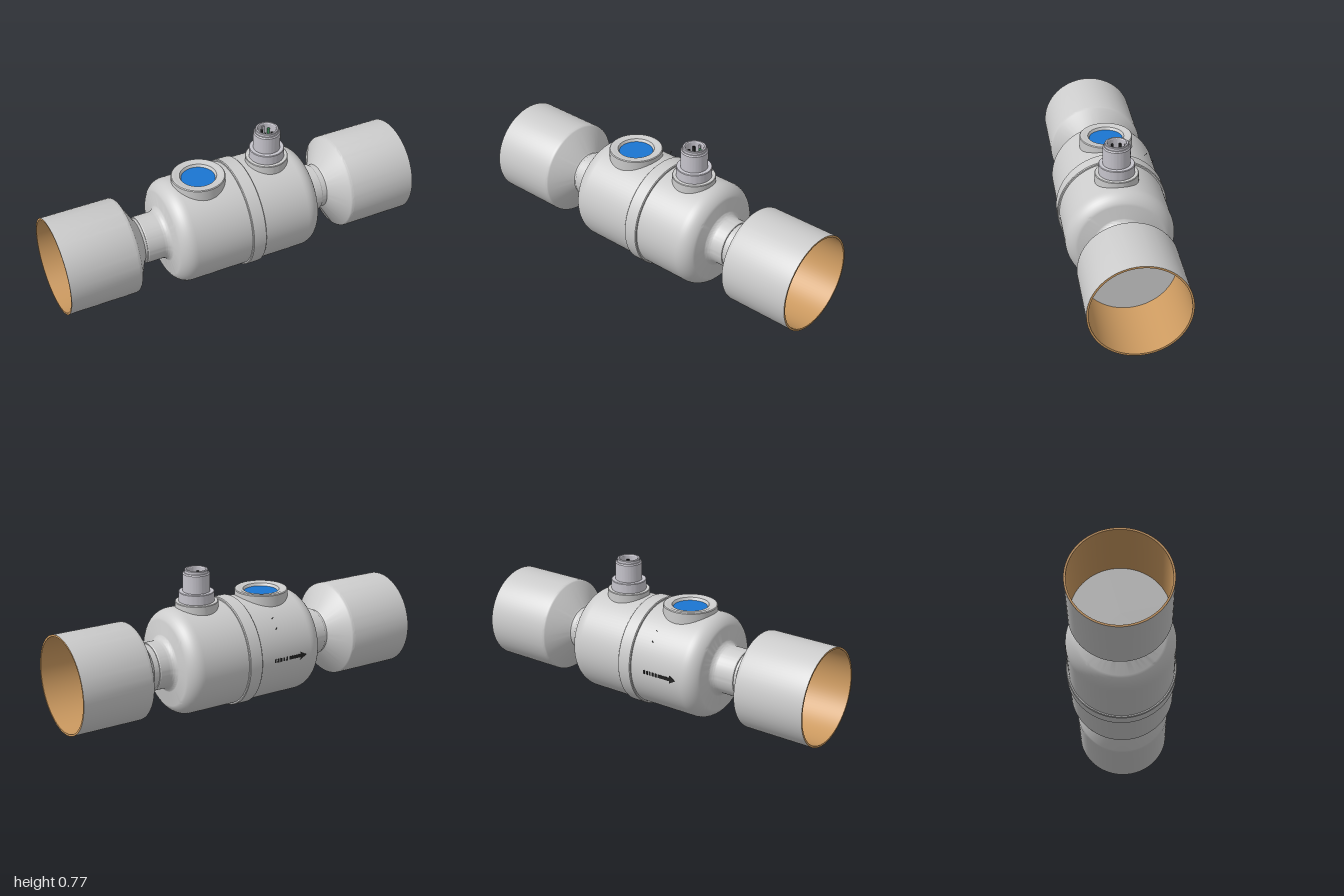
import * as THREE from 'three';
import { toCreasedNormals } from 'three/addons/utils/BufferGeometryUtils.js';

const AXIS = 0.297; // height of the pipe axis
const BODY_R = 0.283;

const mat = (color = 0xcccccc) => new THREE.MeshStandardMaterial({ color });
const grey = mat();
const copper = mat(0xcc9a60);
const blue = mat(0x1a75d1);
const plug = mat(0xc6c4cc);
const dark = mat(0x222222);
const green = mat(0x3f8f5a);

function add(parent, name, geometry, material, x = 0, y = 0, z = 0) {
  const mesh = new THREE.Mesh(geometry, material);
  mesh.name = name;
  mesh.position.set(x, y, z);
  parent.add(mesh);
  return mesh;
}

// Profile of [radius, height] pairs turned about the y axis
function turned(profile, segments = 72) {
  const points = profile.map(([r, h]) => new THREE.Vector2(r, h));
  return toCreasedNormals(new THREE.LatheGeometry(points, segments), 0.5);
}

// Profile of [radius, x] pairs turned about the x axis
const turnedX = (profile) => turned(profile, 96).rotateZ(-Math.PI / 2);

// Arc in profile space, from angle a to angle b in degrees
function arc(cr, cx, rad, a, b, n = 8) {
  return Array.from({ length: n + 1 }, (_, i) => {
    const t = THREE.MathUtils.degToRad(a + ((b - a) * i) / n);
    return [cr + rad * Math.sin(t), cx + rad * Math.cos(t)];
  });
}

// Rounded shoulder of the body followed by a small fillet to the collar
const shoulder = [
  ...arc(BODY_R - 0.09, 0.335, 0.09, 90, 22),
  ...arc(0.167, 0.4555, 0.04, 202, 270).map(([r, x]) => [r, x]),
];

function pipeEnd(side) {
  const end = new THREE.Group();
  end.name = side > 0 ? 'leftPipeEnd' : 'rightPipeEnd';
  // Neck, cone and wide connection sleeve
  add(end, 'reducerSleeve', turnedX([
    [0.119, 0.48], [0.119, 0.54], [0.127, 0.548], [0.25, 0.613],
    [0.255, 0.62], [0.257, 0.63], [0.257, 1],
  ]), grey);
  // Copper bore and end face
  add(end, 'copperBore', turnedX([[0.257, 1], [0.247, 1], [0.247, 0.625]]), copper);
  const floor = add(end, 'boreFloor', new THREE.CircleGeometry(0.249, 96), grey, 0.626);
  floor.rotation.y = Math.PI / 2;
  end.position.y = AXIS;
  if (side < 0) end.rotation.y = Math.PI;
  return end;
}

function sightGlass() {
  const g = new THREE.Group();
  g.name = 'sightGlass';
  add(g, 'sightRim', turned([
    [0.142, 0.46], [0.142, 0.603], [0.138, 0.607], [0.118, 0.607],
    [0.112, 0.604], [0.097, 0.604], [0.088, 0.588],
  ]), grey);
  const glass = add(g, 'indicatorDisc', new THREE.CircleGeometry(0.09, 64), blue, 0, 0.59);
  glass.rotation.x = -Math.PI / 2;
  g.position.x = -0.18;
  return g;
}

function connector() {
  const g = new THREE.Group();
  g.name = 'sensorConnector';
  add(g, 'connectorBoss', turned([
    [0.113, 0.48], [0.113, 0.604], [0.11, 0.607], [0, 0.607],
  ]), grey);
  // Stepped plug with an open socket
  add(g, 'connectorPlug', turned([
    [0.093, 0.6], [0.093, 0.657], [0.09, 0.66], [0.071, 0.66], [0.071, 0.754],
    [0.066, 0.76], [0.061, 0.76], [0.061, 0.774], [0.058, 0.777],
    [0.05, 0.777], [0.047, 0.772], [0.047, 0.715], [0, 0.715],
  ]), plug);
  // Contact pins and keying rib
  for (let i = 0; i < 4; i++) {
    const a = Math.PI / 4 + (i * Math.PI) / 2;
    add(g, 'contactPin', new THREE.CylinderGeometry(0.007, 0.007, 0.045, 16),
      i === 3 ? green : dark, 0.028 * Math.cos(a), 0.735, 0.028 * Math.sin(a));
  }
  add(g, 'keyRib', new THREE.BoxGeometry(0.012, 0.05, 0.01), plug, 0, 0.738, -0.043);
  g.position.x = 0.22;
  return g;
}

// Flow arrow printed on the back, with a striped tail
function flowArrow() {
  const g = new THREE.Group();
  g.name = 'flowArrow';
  const shape = new THREE.Shape();
  [[0, -0.009], [0.07, -0.009], [0.07, -0.022], [0.11, 0],
    [0.07, 0.022], [0.07, 0.009], [0, 0.009]]
    .forEach(([x, y], i) => (i ? shape.lineTo(x, y) : shape.moveTo(x, y)));
  add(g, 'arrowHead', new THREE.ExtrudeGeometry(shape, { depth: 0.002, bevelEnabled: false }), dark);
  for (let i = 0; i < 5; i++) {
    add(g, 'arrowStripe', new THREE.BoxGeometry(0.01, 0.02, 0.002), dark, -0.015 - i * 0.018, 0, 0.001);
  }
  g.rotation.y = Math.PI;
  g.position.set(-0.175, AXIS, -BODY_R + 0.0002);
  return g;
}

// Three-armed status mark lying on the curved housing
function statusMark(angle, name) {
  const g = new THREE.Group();
  g.name = name;
  for (let i = 0; i < 3; i++) {
    const a = (i * Math.PI * 2) / 3 + Math.PI / 2;
    const arm = add(g, 'markArm', new THREE.BoxGeometry(0.016, 0.004, 0.001), dark,
      0.013 * Math.cos(a), 0.013 * Math.sin(a));
    arm.rotation.z = a;
  }
  const r = BODY_R + 0.0005;
  g.position.set(-0.115, AXIS + r * Math.cos(angle), -r * Math.sin(angle));
  g.rotation.set(angle - Math.PI / 2, 0, 0);
  return g;
}

export function createModel() {
  const model = new THREE.Group();
  model.name = 'inlineSensorHousing';

  // Housing shell with collars at both ends
  const right = [...shoulder, [0.127, 0.505], [0.124, 0.51], [0.117, 0.51]];
  const left = right.map(([r, x]) => [r, -x + (x > 0.5 ? -0.017 : 0.022)]).reverse();
  add(model, 'housing', turnedX([...left, ...right]), grey, 0, AXIS);

  // Raised joint band
  add(model, 'jointBand', turnedX([
    [0.27, -0.003], [0.29, -0.003], [0.294, 0.001],
    [0.294, 0.071], [0.29, 0.075], [0.27, 0.075],
  ]), grey, 0, AXIS);

  model.add(pipeEnd(1), pipeEnd(-1), sightGlass(), connector(), flowArrow());
  model.add(statusMark(0.78, 'upperStatusMark'), statusMark(1.0, 'lowerStatusMark'));
  return model;
}
